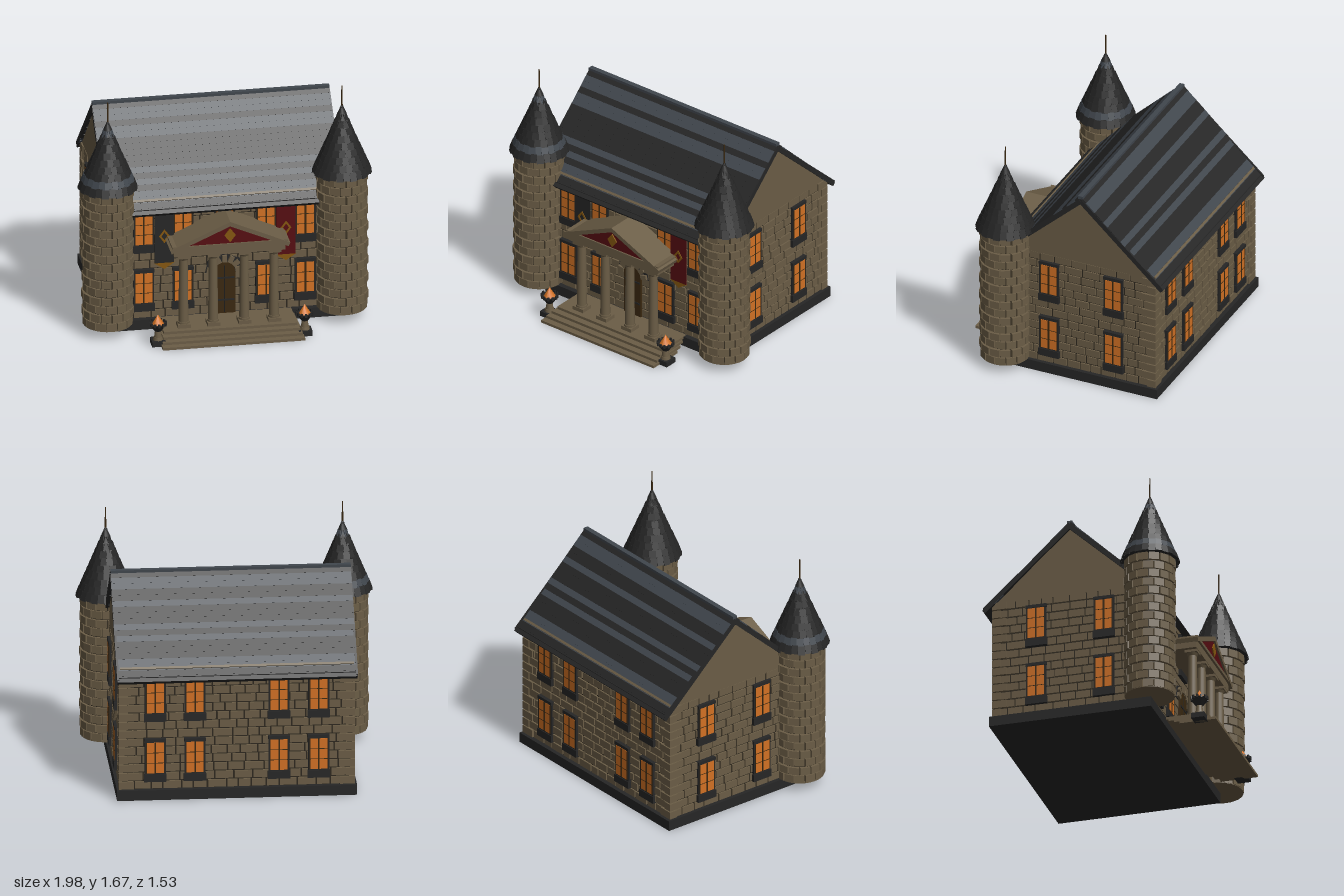
import * as THREE from 'three';
import { mergeGeometries } from 'three/addons/utils/BufferGeometryUtils.js';

const mat = (name, color) => Object.assign(new THREE.MeshStandardMaterial({ color }), { name });

export function createModel() {
  const stone = mat('stone', 0x6b5d46), mortar = mat('mortar', 0x2d271d);
  const dark = mat('dark slate', 0x262626), slate = mat('blue slate', 0x40464d);
  const glow = mat('amber glow', 0xd27124), wood = mat('dark wood', 0x3a2810);
  const red = mat('deep red', 0x560d11), gold = mat('old gold', 0x85570f);
  const root = new THREE.Group();
  root.name = 'manor';

  let seed = 7;
  const rnd = () => (seed = (seed * 16807) % 2147483647) / 2147483647;

  // Merge a list of geometries into one named mesh
  const part = (name, material, geos, parent = root) => {
    const list = [].concat(geos).map(g => (g.index ? g.toNonIndexed() : g));
    const mesh = new THREE.Mesh(mergeGeometries(list), material);
    mesh.name = name;
    parent.add(mesh);
    return mesh;
  };
  const box = (w, h, d, x = 0, y = 0, z = 0) => new THREE.BoxGeometry(w, h, d).translate(x, y, z);
  const cyl = (r1, r2, h, n, x = 0, y = 0, z = 0) => new THREE.CylinderGeometry(r1, r2, h, n).translate(x, y, z);
  const poly = pts => new THREE.Shape(pts.map(p => new THREE.Vector2(...p)));
  const plate = (shape, depth, z = 0) =>
    new THREE.ExtrudeGeometry(shape, { depth, bevelEnabled: false, curveSegments: 10 }).translate(0, 0, z);
  const diamond = (x, y, w, h) => [[x - w, y], [x, y - h], [x + w, y], [x, y + h]];

  // Foundation and wall core
  part('foundation', dark, box(1.6, 0.07, 1.125, 0, 0.035, -0.1625));
  part('wallCore', mortar, box(1.54, 0.83, 1.048, 0, 0.485, -0.165));

  // Brick courses on the four walls, with windows on each
  const ROWS = 14, ROW_H = 0.06;
  const brickWall = (name, width, x, z, turn) => {
    const bricks = [];
    for (let r = 0; r < ROWS; r++) {
      let u = -width / 2;
      while (u < width / 2 - 0.005) {
        let w = u === -width / 2 && r % 2 ? 0.05 : 0.075 + rnd() * 0.06;
        if (width / 2 - u - w < 0.04) w = width / 2 - u;
        const d = 0.02 + rnd() * 0.004;
        bricks.push(box(w - 0.01, ROW_H - 0.01, d, u + w / 2, 0.07 + (r + 0.5) * ROW_H, d / 2 - 0.022));
        u += w;
      }
    }
    part(name, stone, bricks.map(b => b.rotateY(turn).translate(x, 0, z)));
  };
  const addWindow = (x, y, z, turn) => {
    const g = new THREE.Group();
    g.name = 'window';
    const w = 0.118, h = 0.215;
    part('windowFrame', dark, [
      box(w + 0.022, h + 0.02, 0.024, 0, 0, 0),
      box(w + 0.032, 0.052, 0.034, 0, -h / 2 - 0.035, 0.001),
      box(w + 0.026, 0.022, 0.03, 0, h / 2 + 0.014, 0.001),
    ], g);
    part('windowGlass', glow, box(w, h, 0.004, 0, 0, 0.0125), g);
    part('windowBars', wood, [
      box(0.01, h, 0.006, 0, 0, 0.0145),
      ...[-1, 1].map(s => box(w, 0.004, 0.005, 0, s * h / 6, 0.0135)),
      ...[-1, 1].map(s => box(0.004, h, 0.005, s * w / 2, 0, 0.0135)),
    ], g);
    g.position.set(x, y, z);
    g.rotation.y = turn;
    root.add(g);
  };
  brickWall('frontBricks', 1.56, 0, 0.37, 0);
  brickWall('backBricks', 1.56, 0, -0.7, Math.PI);
  for (const s of [1, -1]) brickWall('sideBricks', 1.07, s * 0.78, -0.165, s * Math.PI / 2);
  for (const y of [0.295, 0.72]) {
    for (const s of [1, -1]) {
      for (const x of [0.28, 0.545]) {
        addWindow(s * x, y, 0.372, 0);
        addWindow(s * x, y, -0.702, Math.PI);
      }
      for (const z of [0.07, -0.4]) addWindow(s * 0.782, y, z, s * Math.PI / 2);
    }
  }
  addWindow(0, 0.72, 0.372, 0);

  // Alternating cornerstones at the back
  const quoins = [];
  for (let r = 0; r < ROWS; r++) for (const s of [1, -1]) {
    const a = r % 2 ? 0.06 : 0.1, b = r % 2 ? 0.1 : 0.06;
    quoins.push(box(a, 0.052, b, s * (0.788 - a / 2), 0.07 + (r + 0.5) * ROW_H, -0.708 + b / 2));
  }
  part('cornerstones', stone, quoins);

  // Gable infill
  part('gable', stone, plate(poly([[-0.36, 0.9], [0.7, 0.9], [0.675, 0.91], [0.165, 1.4], [-0.345, 0.91]]), 1.556, -0.778)
    .rotateY(Math.PI / 2));

  // Main roof: slate courses coloured row by row
  const PITCH = 0.595 / 19, ANGLE = Math.atan(0.95), ridgeZ = -0.165;
  const onSlope = (s, d, len, thick, lift, width = 1.6) =>
    box(width, thick, len).rotateX(s * (ANGLE - 0.02)).translate(0, 1.41 - 0.95 * d + lift, ridgeZ + s * d);
  const blueRows = { 1: [1, 2, 4, 5, 11, 13, 15, 16], '-1': [1, 2, 5, 9, 11, 15, 16] };
  for (const s of [1, -1]) {
    const rows = { true: [], false: [] };
    for (let k = 0; k < 19; k++)
      rows[blueRows[s].includes(k)].push(onSlope(s, (k + 0.5) * PITCH, PITCH * 1.45, 0.03, 0));
    part('darkRoofRows', dark, rows.false);
    part('blueRoofRows', slate, rows.true);
    part('roofVerges', dark, [-1, 1].map(e => onSlope(s, 0.295, 0.8, 0.034, -0.004, 0.014).translate(e * 0.796, 0, 0)));
    part('eaveStrip', stone, onSlope(s, 0.535, 0.016, 0.01, 0.024, 1.56));
    part('eaveBoard', dark, box(1.6, 0.022, 0.02, 0, 0.868, ridgeZ + s * 0.575));
  }
  part('ridgeCap', slate, box(1.6, 0.022, 0.035, 0, 1.421, ridgeZ));

  // Corner towers with shingled cones
  for (const s of [-1, 1]) {
    const tower = new THREE.Group();
    tower.name = 'tower';
    tower.position.set(s * 0.79, 0, 0.39);
    root.add(tower);
    part('towerCore', mortar, cyl(0.155, 0.155, 0.98, 28, 0, 0.562, 0), tower);
    part('towerBase', stone, cyl(0.165, 0.165, 0.012, 28, 0, 0.076, 0), tower);
    const bricks = [], N = 14, H = 0.99 / 16;
    for (let r = 0; r < 16; r++) for (let i = 0; i < N; i++) {
      const out = 0.165 + (r % 2) * 0.005 + rnd() * 0.003;
      bricks.push(box(0.067, H - 0.009, 0.03, 0, 0.07 + (r + 0.5) * H, out - 0.015)
        .rotateY(((i + (r % 2) / 2) / N) * Math.PI * 2));
    }
    part('towerBricks', stone, bricks, tower);
    part('coneCore', dark, cyl(0, 0.193, 0.47, 28, 0, 1.3, 0), tower);
    const shingles = { true: [], false: [] }, M = 10, rowH = 0.455 / M, slope = Math.atan(0.2 / 0.475);
    for (let r = 0; r < M; r++) {
      const y = 1.062 + r * rowH, rad = 0.2 * (1 - r / (M + 0.4));
      const n = Math.max(8, Math.round(26 * rad / 0.2));
      const blue = s < 0 && (r === 1 || r === 8);
      for (let i = 0; i < n; i++) {
        const w = (2 * Math.PI * rad / n) * (i % 2 ? 0.98 : 0.86);
        shingles[blue].push(box(w, rowH * 1.3, 0.008, 0, rowH * 0.6 - (i % 2) * 0.006, 0).rotateX(-slope + 0.05)
          .translate(0, y, rad - 0.007).rotateY(((i + (r % 2) / 2) / n) * Math.PI * 2));
      }
    }
    part('coneShingles', dark, shingles.false, tower);
    if (s < 0) part('blueShingles', slate, shingles.true, tower);
    part('coneTip', dark, cyl(0, 0.03, 0.07, 12, 0, 1.51, 0), tower);
    part('spire', wood, cyl(0.004, 0.006, 0.15, 8, 0, 1.597, 0), tower);
  }

  // Porch steps
  const steps = [[0.48, 0.755, 0.5], [0.472, 0.71, 0.46], [0.462, 0.665, 0.42], [0.45, 0.62, 0.37]];
  part('steps', stone, steps.map(([hw, z1, z0], i) => box(hw * 2, 0.018, z1 - z0, 0, 0.009 + i * 0.018, (z0 + z1) / 2)));

  // Columns
  const columns = [];
  for (const x of [-0.305, -0.105, 0.105, 0.305]) columns.push(
    cyl(0.029, 0.034, 0.49, 16, x, 0.34, 0.54), cyl(0.04, 0.04, 0.015, 16, x, 0.104, 0.54),
    cyl(0.04, 0.03, 0.02, 16, x, 0.57, 0.54),
    box(0.086, 0.026, 0.086, x, 0.085, 0.54), box(0.086, 0.02, 0.086, x, 0.588, 0.54));
  part('columns', stone, columns);

  // Portico beam, pediment and its roof
  part('porticoBeam', stone, [box(0.75, 0.06, 0.22, 0, 0.626, 0.475), box(0.78, 0.022, 0.235, 0, 0.664, 0.4825)]);
  part('pediment', red, plate(poly([[-0.35, 0.67], [0.35, 0.67], [0, 0.815]]), 0.22, 0.37));
  part('pedimentDiamond', gold, plate(poly(diamond(0, 0.735, 0.038, 0.05)), 0.008, 0.592));
  part('porticoRoof', stone, [-1, 1].map(s => {
    const pts = [[0, 0.835], [s * 0.405, 0.655], [s * 0.395, 0.628], [0, 0.803]];
    return plate(poly(s > 0 ? pts.reverse() : pts), 0.235, 0.37);
  }));

  // Arched door and its stone surround
  const door = poly([[-0.072, 0.07], [0.072, 0.07], [0.072, 0.37]]);
  door.absarc(0, 0.37, 0.072, 0, Math.PI, false);
  part('door', wood, plate(door, 0.018, 0.366));
  part('doorStraps', dark, [box(0.006, 0.34, 0.006, 0, 0.25, 0.385),
    ...[0.17, 0.33].map(y => box(0.13, 0.012, 0.006, 0, y, 0.385))]);
  part('archBack', dark, plate(poly([[-0.13, 0.37], [0.13, 0.37], [0.11, 0.46], [0, 0.5], [-0.11, 0.46]]), 0.01, 0.364));
  part('doorArch', stone, Array.from({ length: 7 }, (_, i) =>
    box(0.032, 0.048, 0.03, 0, 0.098, 0).rotateZ((i - 3) * 0.46).translate(0, 0.37, 0.376)));

  // Wall banners
  for (const [x, cloth] of [[-0.41, dark], [0.41, red]]) {
    part('banner', cloth, box(0.13, 0.37, 0.008, x, 0.665, 0.402));
    part('bannerTip', gold, plate(poly([[x - 0.068, 0.48], [x, 0.435], [x + 0.068, 0.48]]), 0.008, 0.398));
    const ring = poly(diamond(x, 0.675, 0.036, 0.05));
    ring.holes.push(poly(diamond(x, 0.675, 0.02, 0.029)));
    part('bannerDiamond', gold, plate(ring, 0.006, 0.404));
  }

  // Braziers beside the steps
  for (const s of [-1, 1]) {
    const g = new THREE.Group();
    g.name = 'brazier';
    g.position.set(s * 0.495, 0, 0.645);
    root.add(g);
    part('brazierBase', dark, box(0.092, 0.036, 0.092, 0, 0.018, 0), g);
    part('brazierStem', stone, [cyl(0.03, 0.034, 0.02, 12, 0, 0.046, 0), cyl(0.02, 0.026, 0.05, 12, 0, 0.08, 0)], g);
    const rim = Array.from({ length: 12 }, (_, i) =>
      box(0.014, 0.024, 0.01, 0, 0.153, 0.055).rotateY((i / 12) * Math.PI * 2));
    part('brazierBowl', dark, [cyl(0.058, 0.024, 0.05, 14, 0, 0.125, 0), ...rim], g);
    part('flame', glow, cyl(0, 0.042, 0.068, 8, 0, 0.182, 0), g);
  }
  return root;
}
